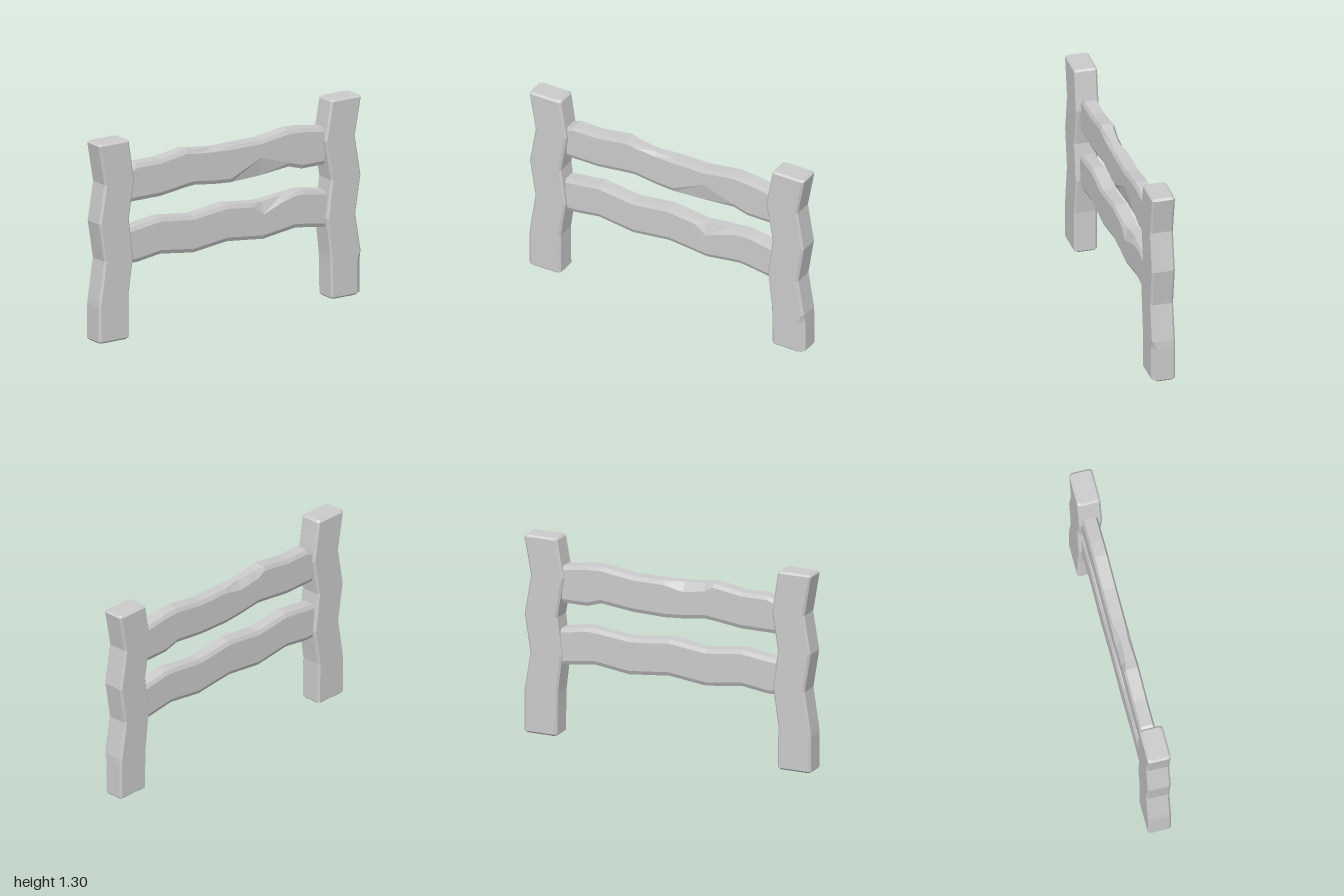
import * as THREE from 'three';

const material = new THREE.MeshStandardMaterial({ color: 0xcccccc, flatShading: true });

// Lofts a chamfered beam through stations [t, low, high, chips].
// chips maps a corner (frontHigh, backHigh, backLow, frontLow) to its own [breadth, depth] cut.
function beam(name, stations, { z0, z1, cut, bevel, upright }) {
  const ring = ([t, low, high, chips = {}], inset = 0) => {
    const a = low + inset, b = high - inset, back = z0 + inset, front = z1 - inset;
    const c = k => chips[k] || cut;
    const [fh, bh, bl, fl] = ['frontHigh', 'backHigh', 'backLow', 'frontLow'].map(c);
    return [
      [b, front - fh[1]], [b - fh[0], front], [a + fl[0], front], [a, front - fl[1]],
      [a, back + bl[1]], [a + bl[0], back], [b - bh[0], back], [b, back + bh[1]],
    ].map(([u, z]) => upright ? [u, t, z] : [t, u, z]);
  };

  // Bevelled ends: a smaller ring at each tip, the full ring just inside it
  const first = stations[0], last = stations[stations.length - 1];
  const rings = [
    ring(first, bevel),
    ring([first[0] + bevel, ...first.slice(1)]),
    ...stations.slice(1, -1).map(s => ring(s)),
    ring([last[0] - bevel, ...last.slice(1)]),
    ring(last, bevel),
  ];

  const index = [];
  const tri = (a, b, c) => index.push(...(upright ? [a, b, c] : [a, c, b]));
  for (let r = 0; r < rings.length - 1; r++) {
    for (let i = 0; i < 8; i++) {
      const a = r * 8 + i, b = r * 8 + (i + 1) % 8;
      tri(a, a + 8, b);
      tri(b, a + 8, b + 8);
    }
  }
  const end = (rings.length - 1) * 8;
  for (let i = 1; i < 7; i++) {
    tri(0, i, i + 1);
    tri(end, end + i + 1, end + i);
  }

  const geometry = new THREE.BufferGeometry();
  geometry.setAttribute('position', new THREE.Float32BufferAttribute(rings.flat(2), 3));
  geometry.setIndex(index);
  const flat = geometry.toNonIndexed();
  flat.computeVertexNormals();
  const mesh = new THREE.Mesh(flat, material);
  mesh.name = name;
  return mesh;
}

export function createModel() {
  const group = new THREE.Group();
  group.name = 'fence';
  const post = { z0: -0.075, z1: 0.075, cut: [0.013, 0.013], bevel: 0.012, upright: true };
  const rail = { z0: -0.055, z1: 0.045, cut: [0.026, 0.012], bevel: 0.015, upright: false };

  // Crooked posts, the left one chipped at the foot
  const footChip = { frontHigh: [0.034, 0.026] };
  group.add(beam('leftPost', [
    [0, 0.77, 1, footChip], [0.23, 0.767, 1, footChip], [0.285, 0.765, 0.998],
    [0.53, 0.737, 0.957], [0.78, 0.77, 0.997], [1.04, 0.725, 0.953], [1.3, 0.77, 1],
  ], post));
  group.add(beam('rightPost', [
    [0, -1, -0.77], [0.24, -1, -0.772], [0.285, -0.995, -0.773],
    [0.53, -0.957, -0.737], [0.78, -0.997, -0.77], [1.03, -0.955, -0.73], [1.3, -1, -0.77],
  ], post));

  // Wavy upper rail with a worn front face and a chipped back edge
  group.add(beam('upperRail', [
    [-0.755, 0.88, 1.1], [-0.69, 0.88, 1.12], [-0.51, 0.88, 1.12],
    [-0.31, 0.905, 1.15],
    [-0.25, 0.91, 1.14, { backHigh: [0.05, 0.025] }],
    [-0.1, 0.89, 1.127, { backHigh: [0.06, 0.035], frontHigh: [0.026, 0.02] }],
    [0.03, 0.88, 1.12], [0.25, 0.885, 1.12, { frontLow: [0.12, 0.022] }],
    [0.47, 0.91, 1.15], [0.57, 0.88, 1.145], [0.755, 0.88, 1.12],
  ], rail));

  // Wavy lower rail with a chipped front edge
  group.add(beam('lowerRail', [
    [-0.765, 0.48, 0.71], [-0.69, 0.478, 0.717], [-0.51, 0.503, 0.74],
    [-0.26, 0.47, 0.71], [0, 0.5, 0.74], [0.19, 0.48, 0.717],
    [0.27, 0.47, 0.712, { frontHigh: [0.08, 0.025] }],
    [0.42, 0.49, 0.728, { frontHigh: [0.04, 0.025] }],
    [0.52, 0.503, 0.738], [0.58, 0.495, 0.738], [0.765, 0.47, 0.708],
  ], rail));

  return group;
}
